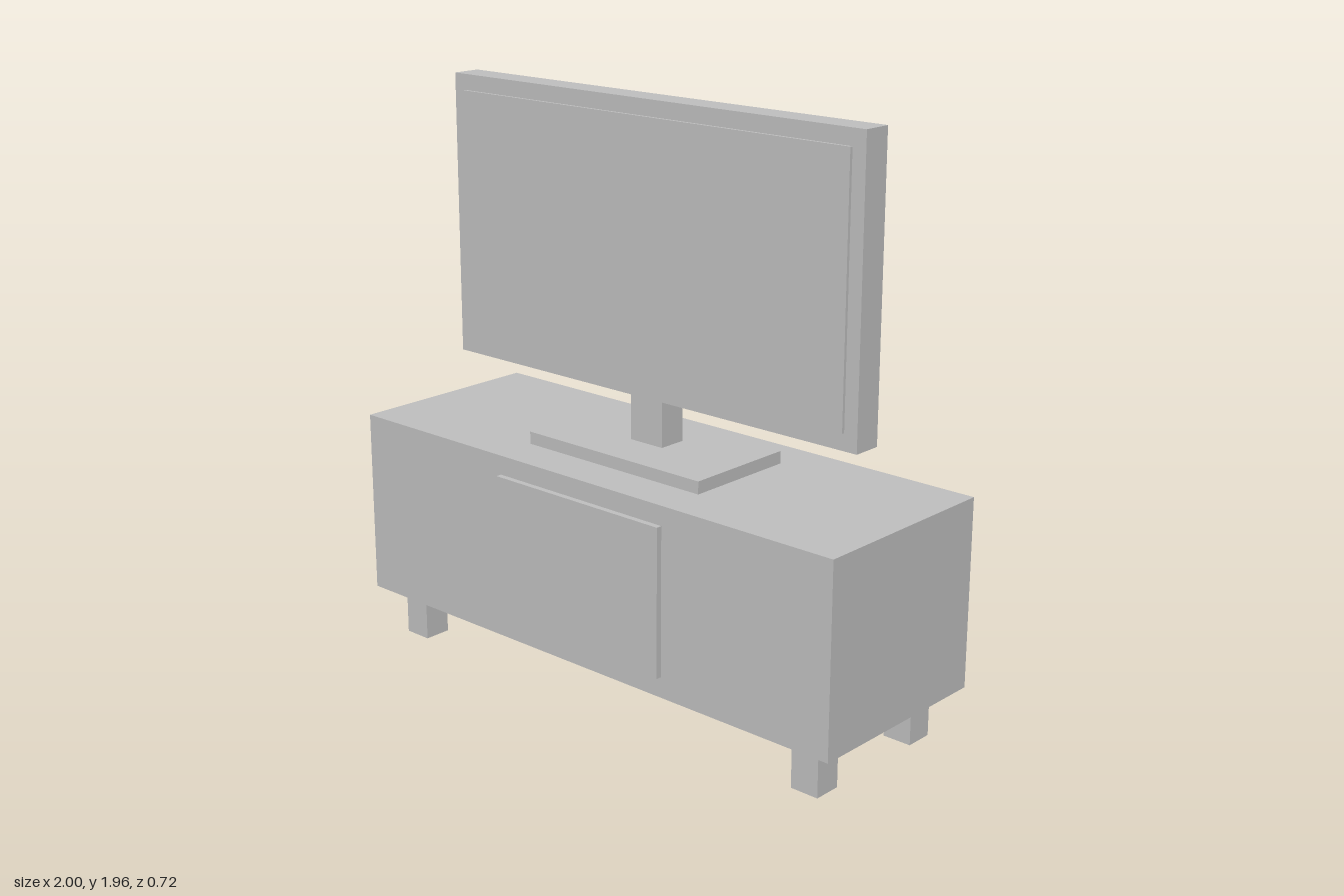
import * as THREE from 'three';

export function createModel() {
  const model = new THREE.Group();
  model.name = 'televisionOnStand';
  const grey = new THREE.MeshStandardMaterial({ color: 0xbfbfbf });
  grey.name = 'lightGrey';

  // Box given by its centre x, width, and its y and z extents
  function box(name, x, width, y0, y1, z0, z1) {
    const mesh = new THREE.Mesh(new THREE.BoxGeometry(width, y1 - y0, z1 - z0), grey);
    mesh.name = name;
    mesh.position.set(x, (y0 + y1) / 2, (z0 + z1) / 2);
    model.add(mesh);
  }

  // Cabinet with a raised door panel
  box('cabinet', 0, 2, 0.168, 0.8, -0.359, 0.339);
  box('cabinetDoor', 0, 0.7, 0.238, 0.735, 0.339, 0.359);

  // Four square legs
  for (const [side, x] of [['left', 0.866], ['right', -0.866]]) {
    box(side + 'FrontLeg', x, 0.1, 0, 0.168, 0.178, 0.274);
    box(side + 'BackLeg', x, 0.1, 0, 0.168, -0.291, -0.194);
  }

  // Television foot, neck, body and screen
  box('televisionFoot', 0, 0.732, 0.8, 0.842, -0.209, 0.189);
  box('televisionNeck', 0, 0.134, 0.842, 1.032, -0.075, 0.024);
  box('televisionBody', 0, 1.696, 1.0, 1.955, -0.06, 0.039);
  box('televisionScreen', 0, 1.6, 1.056, 1.902, 0.039, 0.049);

  return model;
}
